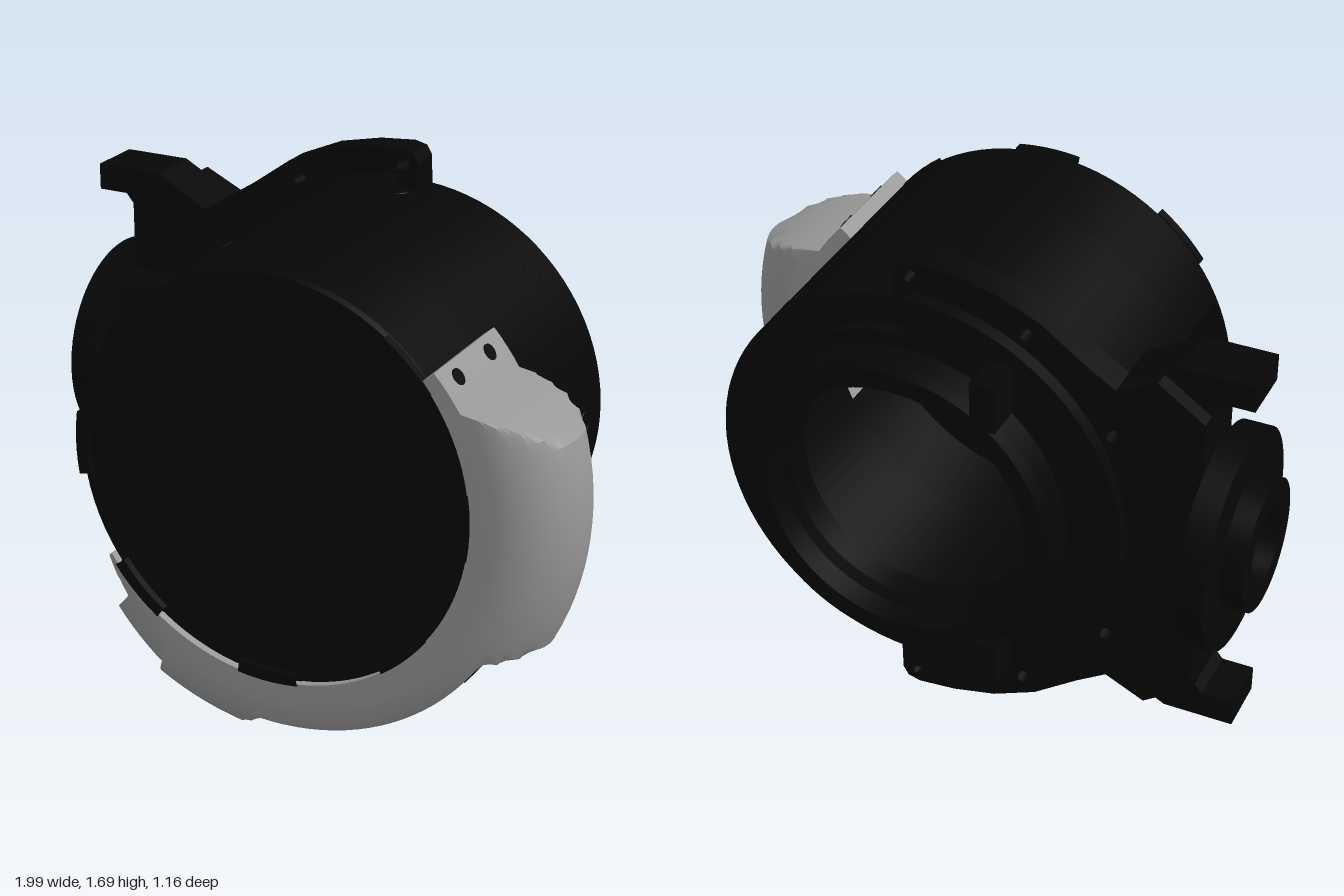
import * as THREE from 'three';
import { toCreasedNormals } from 'three/addons/utils/BufferGeometryUtils.js';

const CX = 0.06, CY = 0.915, DEG = Math.PI / 180;
const black = new THREE.MeshStandardMaterial({ color: 0x060606, side: THREE.DoubleSide });
const grey = new THREE.MeshStandardMaterial({ color: 0x999999, side: THREE.DoubleSide });

const toPoints = (pairs) => pairs.map(([x, y]) => new THREE.Vector2(x, y));

export function createModel() {
  const model = new THREE.Group();

  function add(name, geometry, material, x = 0, y = 0, z = 0) {
    const mesh = new THREE.Mesh(toCreasedNormals(geometry, 28 * DEG), material);
    mesh.name = name;
    mesh.position.set(x, y, z);
    model.add(mesh);
  }

  // turned part around the drum axis; profile pairs are [radius, z], angles in degrees from the bottom
  function turned(name, profile, start = 0, length = 360) {
    const segments = Math.ceil(length / 4);
    const g = new THREE.LatheGeometry(toPoints(profile), segments, start * DEG, length * DEG);
    g.rotateX(Math.PI / 2);
    add(name, g, black, CX, CY, 0);
  }

  // drum: rear body with stepped neck and open mouth
  turned('drumBody', [
    [0.62, 0.25], [0.657, 0.25], [0.657, -0.4], [0.56, -0.4], [0.56, -0.445],
    [0.515, -0.445], [0.515, -0.53], [0.49, -0.55], [0.43, -0.55], [0.43, -0.47],
    [0.4, -0.45], [0.4, -0.36], [0.62, -0.34], [0.62, 0.25]]);
  turned('frontCap', [[0, 0.555], [0.645, 0.555], [0.657, 0.545], [0.657, 0.53], [0, 0.53]]);

  // front walls above and below, leaving a window on each side
  for (const start of [115, 295]) {
    turned('frontWall', [[0.62, 0.25], [0.657, 0.25], [0.657, 0.54], [0.62, 0.54], [0.62, 0.25]], start, 130);
  }

  // raised segments around the front rim
  for (let i = 0; i < 8; i++) {
    turned('frontRimTab', [[0.62, 0.55], [0.62, 0.58], [0.658, 0.58], [0.658, 0.55], [0.62, 0.55]],
      i * 45 - 9, 18);
  }

  // small bosses around the drum wall
  for (let i = 0; i < 8; i++) {
    const a = i * 45 * DEG;
    const g = new THREE.TorusGeometry(0.035, 0.008, 6, 20);
    g.rotateY(Math.PI / 2).rotateZ(a);
    add('wallBoss', g, black, CX + 0.651 * Math.cos(a), CY + 0.651 * Math.sin(a), -0.275);
  }

  // side bracket: mirrored outline closed by an arc around the drum
  const upper = [[0.12, 1.57], [0.118, 1.66], [0.1, 1.69], [0.06, 1.7], [-0.06, 1.69], [-0.2, 1.66],
    [-0.34, 1.6], [-0.48, 1.5], [-0.575, 1.44], [-0.7, 1.5], [-0.845, 1.4]];
  const lower = upper.map(([x, y]) => [x, 2 * CY - y]).reverse();
  const bracket = new THREE.Shape(toPoints([...upper, ...lower]));
  bracket.absarc(CX, CY, 0.65, -85 * DEG, 85 * DEG, true);
  for (const [x, y] of [[0.065, 1.65], [-0.3, 1.55], [-0.57, 1.28], [-0.665, CY],
    [-0.57, 0.55], [-0.3, 0.28], [0.065, 0.18]]) {
    bracket.holes.push(new THREE.Path().absarc(x, y, 0.022, 0, Math.PI * 2, true));
  }
  add('sideBracket', new THREE.ExtrudeGeometry(bracket,
    { depth: 0.1, bevelEnabled: false, curveSegments: 40 }), black, 0, 0, -0.4);

  // thick hooked ears above and below the hub
  const ear = [[-0.97, 1.535], [-0.75, 1.535], [-0.575, 1.44], [-0.6, 1.2], [-0.845, 1.2],
    [-0.845, 1.42], [-0.87, 1.45], [-0.97, 1.45]];
  for (const s of [1, -1]) {
    const shape = new THREE.Shape(toPoints(ear.map(([x, y]) => [x, CY + s * (y - CY)])));
    add('ear', new THREE.ExtrudeGeometry(shape, { depth: 0.18, bevelEnabled: false }), black, 0, 0, -0.35);
  }

  // sloped fillet in front of the bracket and half ring behind it
  turned('bracketFillet', [[0.65, -0.24], [0.7, -0.3]], 180, 180);
  turned('bracketBackRing', [[0.55, -0.4], [0.685, -0.4], [0.685, -0.445], [0.55, -0.445], [0.55, -0.4]],
    180, 180);

  // tapered mount joining the hub to the drum
  const taper = new THREE.Shape(toPoints([[-0.86, 0.4], [-0.55, 0.4], [-0.55, 0.16], [-0.86, 0.06]]));
  const taperGeo = new THREE.ExtrudeGeometry(taper, { depth: 0.5, bevelEnabled: false });
  taperGeo.rotateX(-Math.PI / 2);
  add('hubMount', taperGeo, black, 0, CY - 0.25, 0);

  // hub: wide flange and hollow collar along x
  const hub = new THREE.LatheGeometry(toPoints([[0, 0.86], [0.13, 0.86], [0.13, 1], [0.205, 1],
    [0.205, 0.93], [0.343, 0.93], [0.343, 0.845], [0, 0.845]]), 64);
  hub.rotateZ(Math.PI / 2);
  add('hub', hub, black, 0, CY, -0.238);

  // rear lugs above and below
  for (const s of [1, -1]) {
    add('rearLug', new THREE.BoxGeometry(0.08, 0.155, 0.15), black, -0.24, CY + s * 0.473, -0.495);
  }

  // cowl: D-shaped section swept around the drum and trimmed flat;
  // rows are [angle, trim radius, radius of the rounded crown]
  const stations = [[40, 0.703, 0.935], [29, 0.71, 0.935], [16, 0.935, 0.935], [-26, 0.932, 0.932],
    [-33, 0.818, 0.932], [-93, 0.816, 0.932], [-102, 0.925, 0.93], [-119, 0.93, 0.93],
    [-119.5, 0.9, 0.9], [-135, 0.866, 0.866], [-135.5, 0.7, 0.866], [-147, 0.668, 0.866]];
  const rows = [];
  stations.forEach((from, i) => {
    const to = stations[i + 1];
    const n = to ? Math.ceil((from[0] - to[0]) / 3) : 1;
    for (let k = 0; k < n; k++) {
      rows.push(from.map((v, j) => (to ? v + (to[j] - v) * k / n : v)));
    }
  });
  const arcN = 32, per = arcN + 3, pos = [], idx = [];
  for (const [a, trim, crown] of rows) {
    const section = [[0.655, 0.172]];
    for (let k = 0; k <= arcN; k++) {
      const t = Math.PI * k / arcN;
      section.push([Math.min(trim, crown - 0.2 + 0.2 * Math.sin(t)), 0.372 - 0.2 * Math.cos(t)]);
    }
    section.push([0.655, 0.572]);
    for (const [r, z] of section) pos.push(CX + r * Math.cos(a * DEG), CY + r * Math.sin(a * DEG), z);
  }
  for (let i = 0; i < rows.length - 1; i++) {
    for (let j = 0; j < per; j++) {
      const a = i * per + j, b = i * per + (j + 1) % per;
      idx.push(a, a + per, b, b, a + per, b + per);
    }
  }
  const last = (rows.length - 1) * per;
  for (let j = 1; j < per - 1; j++) idx.push(0, j, j + 1, last, last + j + 1, last + j);
  const cowl = new THREE.BufferGeometry();
  cowl.setAttribute('position', new THREE.Float32BufferAttribute(pos, 3));
  cowl.setIndex(idx);
  add('cowl', cowl, grey);

  // screw holes of the cowl
  for (const z of [0.27, 0.48]) {
    for (const [a, r, size] of [[36, 0.7, 0.026], [-37.5, 0.813, 0.052]]) {
      const g = new THREE.CylinderGeometry(size, size, 0.016, 24);
      g.rotateZ((a - 90) * DEG);
      add('screwHole', g, black, CX + r * Math.cos(a * DEG), CY + r * Math.sin(a * DEG), z);
    }
  }

  // cable hook: U-shaped loop behind the cowl, open toward the drum
  const hook = new THREE.Shape();
  hook.moveTo(-0.15, 0.12);
  hook.lineTo(-0.15, 0);
  hook.absarc(0, 0, 0.15, Math.PI, Math.PI * 2, false);
  hook.lineTo(0.15, 0.12);
  hook.lineTo(0.07, 0.12);
  hook.lineTo(0.07, 0);
  hook.absarc(0, 0, 0.07, 0, -Math.PI, true);
  hook.lineTo(-0.07, 0.12);
  const hookGeo = new THREE.ExtrudeGeometry(hook, { depth: 0.15, bevelEnabled: false, curveSegments: 24 });
  hookGeo.translate(0, 0, -0.075);
  // shape x runs along z, shape y points inward, depth follows the rim
  const c = Math.cos(68 * DEG), s = Math.sin(68 * DEG);
  hookGeo.applyMatrix4(new THREE.Matrix4().makeBasis(
    new THREE.Vector3(0, 0, 1), new THREE.Vector3(c, s, 0), new THREE.Vector3(-s, c, 0)));
  add('cableHook', hookGeo, grey, -0.23, 0.205, 0.092);

  return model;
}
